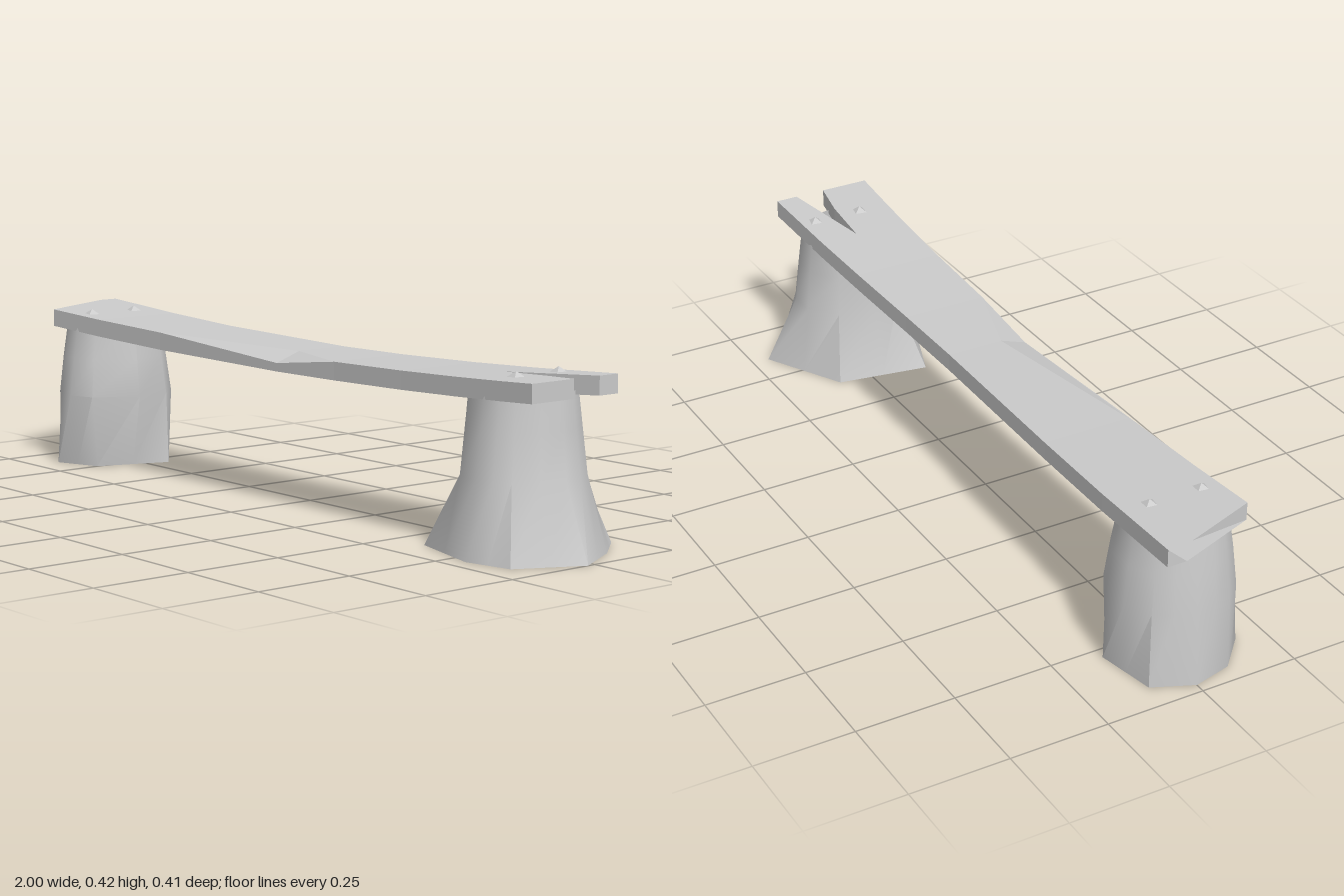
import * as THREE from 'three';
import { toCreasedNormals } from 'three/addons/utils/BufferGeometryUtils.js';

// Skin a list of equal-length point loops, optionally closing both ends.
function loft(loops, caps) {
  const n = loops[0].length, last = (loops.length - 1) * n, index = [];
  for (let i = 0; i < loops.length - 1; i++) {
    for (let j = 0; j < n; j++) {
      const a = i * n + j, b = i * n + (j + 1) % n;
      index.push(a, b, b + n, a, b + n, a + n);
    }
  }
  if (caps) {
    for (let j = 1; j < n - 1; j++) {
      index.push(0, j + 1, j, last, last + j, last + j + 1);
    }
  }
  const geometry = new THREE.BufferGeometry();
  geometry.setAttribute('position', new THREE.Float32BufferAttribute(loops.flat(2), 3));
  geometry.setIndex(index);
  return geometry;
}

// Sagging plank surface
const THICKNESS = 0.045;
const topY = (x) => 0.385 + 0.031 * Math.min(1, x * x);

// Cross-section of a plank piece between its back and front edge
const slab = (x, back, front) => [
  [x, topY(x), back], [x, topY(x), front],
  [x, topY(x) - THICKNESS, front], [x, topY(x) - THICKNESS, back],
];

// Stump: irregular foot polygon rising into two ellipses [y, cx, cz, rx, rz]
function stumpGeometry(foot, ellipses) {
  const base = foot.flatMap(([x, z], i) => {
    const [nx, nz] = foot[(i + 1) % foot.length];
    return [[x, 0, z], [(x + nx) / 2, 0, (z + nz) / 2]];
  });
  const rings = ellipses.map(([y, cx, cz, rx, rz]) => base.map(([x, , z]) => {
    const angle = Math.atan2(z - cz, x - cx);
    return [cx + rx * Math.cos(angle), y, cz + rz * Math.sin(angle)];
  }));
  return toCreasedNormals(loft([base, ...rings], false), 0.7);
}

export function createModel() {
  const model = new THREE.Group();
  const wood = new THREE.MeshStandardMaterial({ color: 0xcccccc, flatShading: true });
  const bark = new THREE.MeshStandardMaterial({ color: 0xcccccc, side: THREE.DoubleSide });
  const add = (name, geometry, material, parent = model) => {
    if (!geometry.getAttribute('normal')) geometry.computeVertexNormals();
    const mesh = new THREE.Mesh(geometry, material);
    mesh.name = name;
    parent.add(mesh);
    return mesh;
  };

  // Plank: stations are [x, back z, chip z, front z, front drop, front x]
  const plank = new THREE.Group();
  plank.name = 'plank';
  model.add(plank);
  const stations = [
    [-1, -0.11, -0.06, 0.15, 0, -0.92],
    [-0.72, -0.104, 0.139, 0.143, 0],
    [-0.45, -0.096, 0.131, 0.135, 0],
    [0.03, -0.085, 0.06, 0.13, 0.024],
    [0.25, -0.088, 0.126, 0.13, 0],
    [0.5, -0.096, 0.132, 0.136, 0],
    [0.7, -0.103, 0, 0.143, 0],
  ];
  const body = stations.map(([x, back, mid, front, drop, frontX = x]) => [
    [x, topY(x), back], [x, topY(x), mid], [frontX, topY(frontX) - drop, front],
    [frontX, topY(frontX) - THICKNESS, front],
    [x, topY(x) - THICKNESS, mid], [x, topY(x) - THICKNESS, back],
  ]);
  add('plankBody', loft(body, true), wood, plank);

  // Split end: two prongs either side of a wedge-shaped crack
  add('backProng', loft([slab(0.7, -0.103, 0), slab(0.955, -0.11, -0.052)], true), wood, plank);
  add('frontProng', loft([slab(0.7, 0, 0.143), slab(0.85, 0.01, 0.15),
    slab(0.955, 0.028, 0.155)], true), wood, plank);

  // Stumps, open underneath
  add('leftStump', stumpGeometry(
    [[0.6, 0.15], [0.8, 0.205], [0.92, 0.18], [1, 0.02], [0.93, -0.11], [0.85, -0.205], [0.64, -0.09]],
    [[0.18, 0.792, 0.022, 0.137, 0.152], [0.29, 0.787, 0.02, 0.13, 0.138], [0.375, 0.785, 0.02, 0.124, 0.127]],
  ), bark);
  add('rightStump', stumpGeometry(
    [[-0.95, 0.1], [-0.87, 0.175], [-0.75, 0.13], [-0.685, -0.06], [-0.78, -0.13], [-0.93, -0.1], [-0.975, 0]],
    [[0.19, -0.818, 0.02, 0.147, 0.153], [0.29, -0.82, 0.02, 0.135, 0.14], [0.375, -0.822, 0.02, 0.123, 0.126]],
  ), bark);

  // Nail heads: low four-sided pyramids
  const nailShape = new THREE.ConeGeometry(0.028, 0.018, 4);
  for (const [x, z] of [[-0.81, -0.037], [-0.81, 0.1], [0.81, -0.067], [0.81, 0.065]]) {
    const nail = add('nailHead', nailShape, wood);
    nail.position.set(x, topY(x) + 0.004, z);
    nail.rotation.y = 0.65;
  }
  return model;
}
